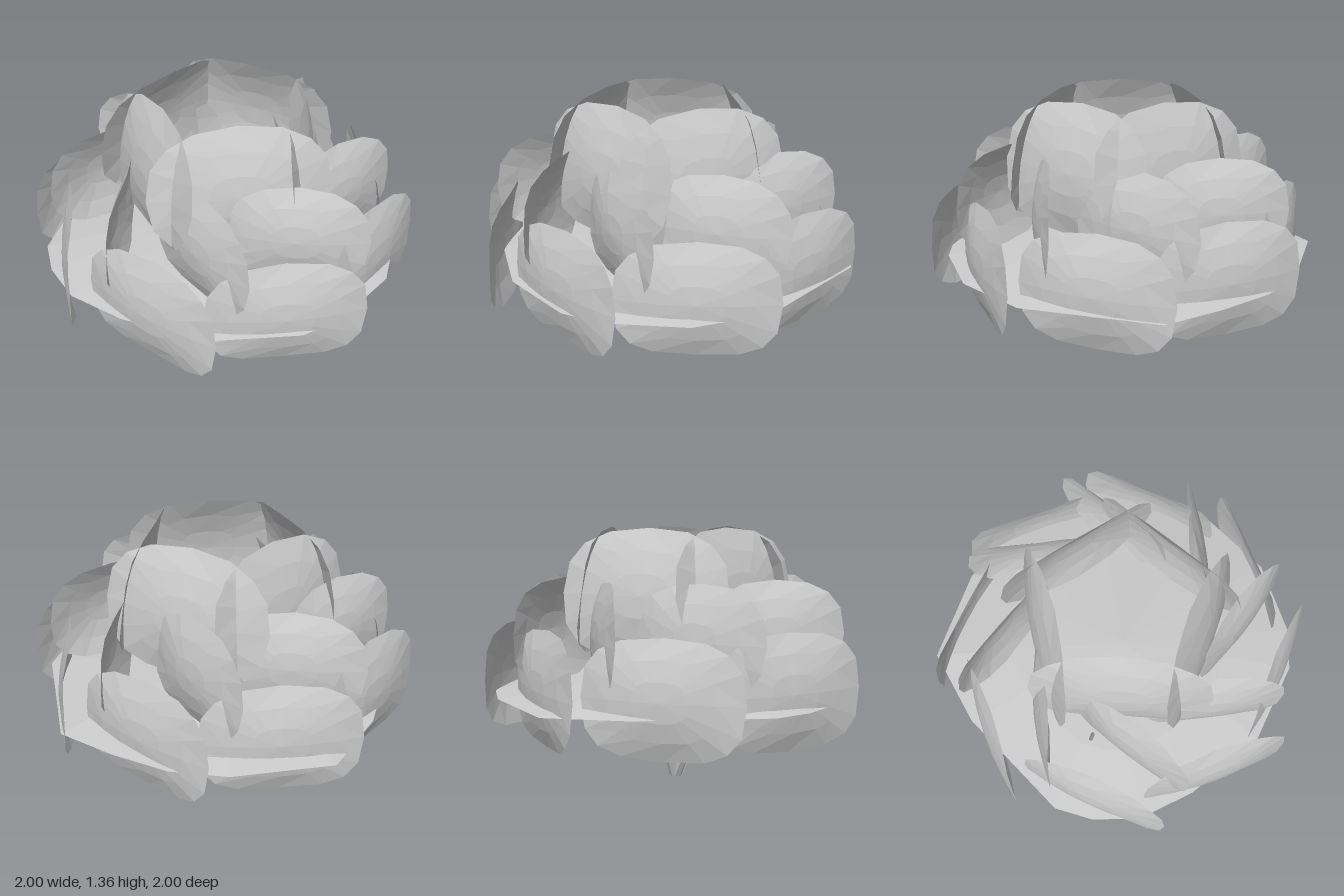
import * as THREE from 'three';

const material = new THREE.MeshStandardMaterial({ color: 0xcccccc, flatShading: true, side: THREE.DoubleSide });

// Thin, bowed foliage card with a rounded-rectangle outline, standing between two plan points.
function foliageCard(name, inner, outer, y0, y1, bulge, lean, roundness) {
  const g = new THREE.RingGeometry(0.001, 1, 16, 3);
  const p = g.attributes.position;
  const a = new THREE.Vector2(...inner), b = new THREE.Vector2(...outer);
  const mid = a.clone().add(b).multiplyScalar(0.5);
  const half = b.clone().sub(a).multiplyScalar(0.5);
  const n = new THREE.Vector2(-half.y, half.x).normalize();
  if (n.dot(mid) < 0) n.negate();
  const h = (y1 - y0) / 2;
  const square = c => Math.sign(c) * Math.pow(Math.abs(c), roundness);
  for (let i = 0; i < p.count; i++) {
    const r = Math.hypot(p.getX(i), p.getY(i));
    const u = r * square(p.getX(i) / r), v = r * square(p.getY(i) / r);
    const w = bulge * (1 - u * u) * (0.65 - v * v) - lean * v;
    p.setXYZ(i, mid.x + half.x * u + n.x * w, (y0 + y1) / 2 + h * v, mid.y + half.y * u + n.y * w);
  }
  g.computeVertexNormals();
  const mesh = new THREE.Mesh(g, material);
  mesh.name = name;
  return mesh;
}

// Ring of equal cards swirling around the vertical axis.
function foliageRing(name, count, ...card) {
  const ring = new THREE.Group();
  ring.name = name;
  for (let i = 0; i < count; i++) {
    const mesh = foliageCard(name + 'Card', ...card);
    mesh.rotation.y = (i / count) * Math.PI * 2;
    ring.add(mesh);
  }
  return ring;
}

// Shallow, irregular canopy sheet inside the rings.
function canopy() {
  const rim = [[-0.77, -0.7], [-0.31, -0.93], [-0.02, -0.97], [0.28, -0.92], [0.59, -0.83], [0.77, -0.5],
    [0.93, -0.21], [0.93, 0.2], [0.75, 0.57], [0.59, 0.73], [0.17, 0.88], [-0.3, 0.84],
    [-0.6, 0.74], [-0.78, 0.57], [-0.88, 0.39], [-0.88, -0.28]];
  const levels = [[1, 0.49], [0.62, 0.55], [0.001, 0.59]];
  const pos = [], idx = [], m = rim.length;
  for (const [s, y] of levels) for (const [x, z] of rim) pos.push(x * s, y, z * s);
  for (let k = 0; k < levels.length - 1; k++) {
    for (let i = 0; i < m; i++) {
      const j = (i + 1) % m, a = k * m + i, b = k * m + j;
      idx.push(a, a + m, b, b, a + m, b + m);
    }
  }
  const g = new THREE.BufferGeometry();
  g.setAttribute('position', new THREE.Float32BufferAttribute(pos, 3));
  g.setIndex(idx);
  g.computeVertexNormals();
  const mesh = new THREE.Mesh(g, material);
  mesh.name = 'canopySheet';
  return mesh;
}

// Curved stem that thins toward its tip.
function stem(x, y, z) {
  const bx = -0.01, steps = 6, sides = 6;
  const curve = new THREE.CatmullRomCurve3([
    new THREE.Vector3(bx + x * 0.03, 0, z * 0.03),
    new THREE.Vector3(bx + x * 0.16, 0.12, z * 0.16),
    new THREE.Vector3(bx + x * 0.58, 0.36, z * 0.58),
    new THREE.Vector3(x, y, z)]);
  const g = new THREE.TubeGeometry(curve, steps, 0.028, sides);
  const p = g.attributes.position, v = new THREE.Vector3();
  for (let i = 0; i < p.count; i++) {
    const t = Math.floor(i / (sides + 1)) / steps;
    const c = curve.getPointAt(t);
    v.fromBufferAttribute(p, i).sub(c).multiplyScalar(1 - 0.65 * t).add(c);
    p.setXYZ(i, v.x, v.y, v.z);
  }
  g.computeVertexNormals();
  const mesh = new THREE.Mesh(g, material);
  mesh.name = 'stem';
  return mesh;
}

export function createModel() {
  const bush = new THREE.Group();
  bush.name = 'bush';
  bush.add(
    canopy(),
    foliageRing('lowerFoliage', 8, [0.68, 0.51], [1.0, -0.23], 0.28, 0.86, 0.075, 0.01, 0.7),
    foliageRing('middleFoliage', 8, [0.12, 0.45], [0.84, 0.35], 0.54, 1.09, 0.075, 0.015, 0.78),
    foliageRing('upperFoliage', 5, [0.36, -0.52], [0.46, 0.4], 0.68, 1.35, 0.08, 0.05, 0.78)
  );
  const tips = [[0.21, 0.54, 0.52], [0.25, 0.57, -0.2], [-0.36, 0.56, -0.23], [-0.5, 0.59, 0.27]];
  for (const tip of tips) bush.add(stem(...tip));
  return bush;
}
